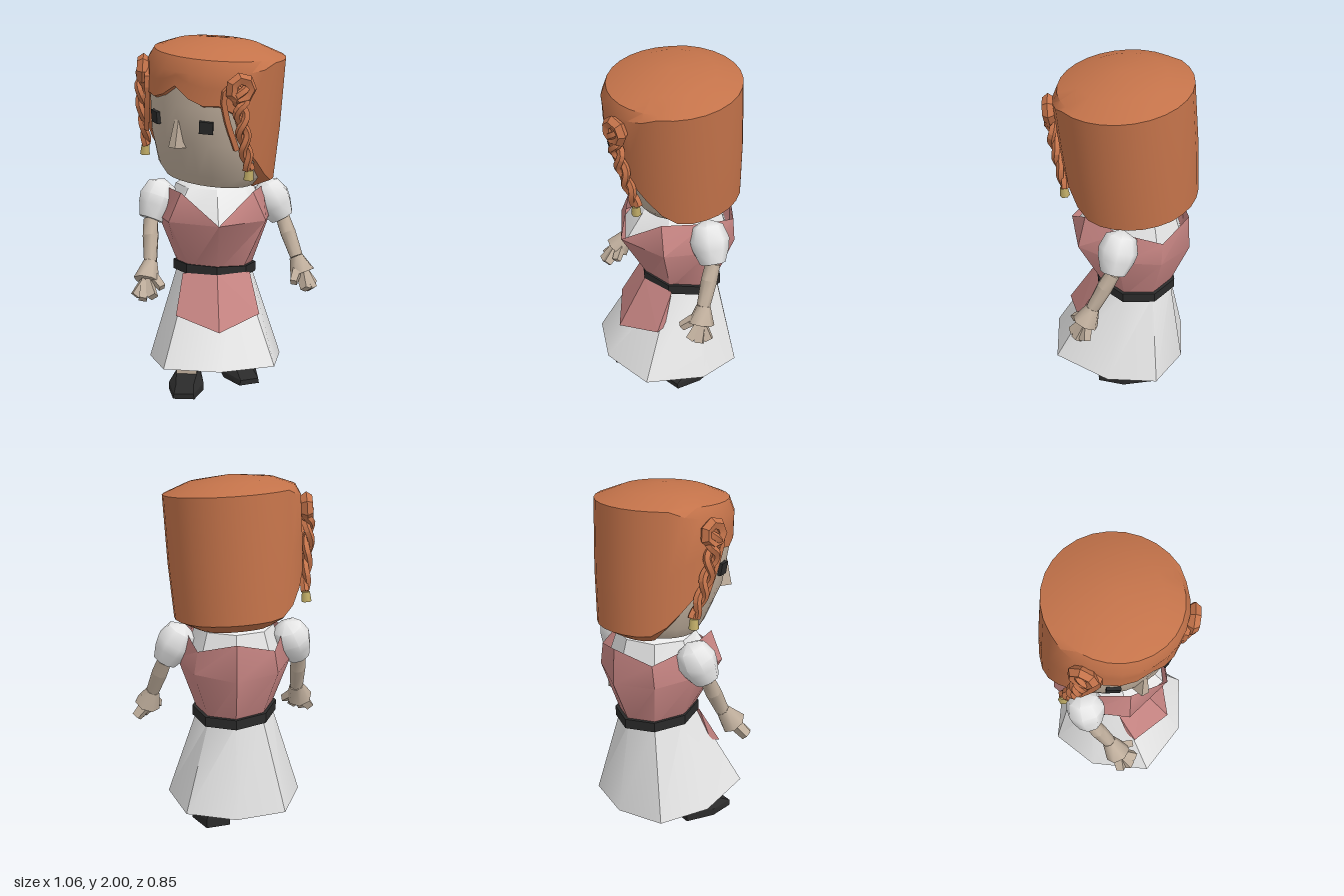
import * as THREE from 'three';
import { toCreasedNormals } from 'three/addons/utils/BufferGeometryUtils.js';
import { ConvexGeometry } from 'three/addons/geometries/ConvexGeometry.js';

const mat = (name, color, double) => {
  const m = new THREE.MeshStandardMaterial({ color });
  m.name = name;
  if (double) m.side = THREE.DoubleSide;
  return m;
};
const V = (x, y, z) => new THREE.Vector3(x, y, z);

// Skin a stack of rings (bottom to top), each running from +z towards +x; optional end caps
function loft(rings, { bottom, top, crease = 0.6 } = {}) {
  const n = rings[0].length, pos = rings.flat(2), index = [];
  for (let r = 0; r < rings.length - 1; r++)
    for (let i = 0; i < n; i++) {
      const a = r * n + i, b = r * n + (i + 1) % n;
      index.push(a, b, b + n, a, b + n, a + n);
    }
  const cap = (r, up, lift) => {
    const c = [0, 1, 2].map(k => rings[r].reduce((s, p) => s + p[k], 0) / n);
    const ci = pos.length / 3;
    pos.push(c[0], c[1] + lift, c[2]);
    for (let i = 0; i < n; i++) {
      const a = r * n + i, b = r * n + (i + 1) % n;
      index.push(ci, up ? a : b, up ? b : a);
    }
  };
  if (bottom !== undefined) cap(0, false, bottom);
  if (top !== undefined) cap(rings.length - 1, true, top);
  const g = new THREE.BufferGeometry();
  g.setAttribute('position', new THREE.Float32BufferAttribute(pos, 3));
  g.setIndex(index);
  return toCreasedNormals(g, crease);
}

// Eight-point ring from its front-to-back half
const oct = h => [...h, ...h.slice(1, 4).reverse().map(([x, y, z]) => [-x, y, z])];
const round = (n, f) => Array.from({ length: n }, (_, i) => f(i / n * Math.PI * 2));
const octRound = (r, yAt) => round(8, a => {
  const x = r * Math.sin(a), z = r * Math.cos(a);
  return [x, yAt(x, z), z];
});

export function createModel() {
  const hair = mat('copper hair', 0xc4734a, true), pink = mat('rose cloth', 0xc78583, true);
  const skin = mat('skin', 0xbfae9c), white = mat('white cloth', 0xe6e6e6);
  const black = mat('black leather', 0x2a2a2a), gold = mat('gold', 0xc2ae68);
  const root = new THREE.Group();
  root.name = 'woman';
  const add = (parent, name, geo, m) => {
    const mesh = new THREE.Mesh(geo, m);
    mesh.name = name;
    parent.add(mesh);
    return mesh;
  };
  const rod = (parent, name, a, b, r0, r1, sides, m) => {
    const d = b.clone().sub(a);
    const g = toCreasedNormals(new THREE.CylinderGeometry(r1, r0, d.length(), sides), sides > 5 ? 0.9 : 0.3);
    const mesh = add(parent, name, g, m);
    mesh.position.copy(a).lerp(b, 0.5);
    mesh.quaternion.setFromUnitVectors(V(0, 1, 0), d.normalize());
  };

  // Torso and skirt, turned a little to the model's right
  const torso = new THREE.Group();
  torso.name = 'torso';
  torso.position.z = -0.08;
  torso.rotation.y = -0.26;
  root.add(torso);
  const tilt = c => (x, z) => c + 0.1 * z - 0.05 * x;
  const hemY = z => 0.145 + 0.115 * z;
  const hem = [[0, 0.485], [0.31, 0.385], [0.38, 0.05], [0.28, -0.22], [0, -0.295]].map(([x, z]) => [x, hemY(z), z]);
  add(torso, 'skirt', loft([oct(hem), octRound(0.215, tilt(0.67))], { bottom: 0, crease: 0.75 }), white);
  const bust = [[0, 1.0, 0.38], [0.27, 1.0, 0.25], [0.32, 0.98, 0], [0.23, 0.95, -0.22], [0, 0.93, -0.32]];
  const neckline = [[0, 1.0, 0.38], [0.2, 1.16, 0.23], [0.28, 1.15, 0], [0.21, 1.08, -0.22], [0, 1.14, -0.31]];
  add(torso, 'bodice', loft([octRound(0.205, tilt(0.67)), oct(bust), oct(neckline)], { crease: 0.75 }), pink);
  const shirtLow = bust.map(([x, y, z]) => [x * 0.93, y - 0.02, z * 0.93]);
  add(torso, 'shirt', loft([oct(shirtLow), octRound(0.22, () => 1.17), octRound(0.15, () => 1.21)], { top: 0 }), white);
  add(torso, 'belt', loft([octRound(0.238, tilt(0.652)), octRound(0.238, tilt(0.708))], { bottom: 0, top: 0 }), black);
  // Pointed front tail of the bodice, a closed wedge over the skirt
  add(torso, 'bodiceTail', new ConvexGeometry([
    V(0, 0.69, 0.235), V(0.19, 0.68, 0.16), V(-0.19, 0.68, 0.16), V(0, 0.4, 0.405),
    V(0.235, 0.465, 0.275), V(-0.235, 0.465, 0.275), V(0, 0.41, 0.36), V(0.22, 0.475, 0.22), V(-0.22, 0.475, 0.22)]), pink);

  // Arms: puffed sleeve, forearm and hand with spread fingers
  const arms = [
    { side: 'left', top: V(0.27, 1.17, -0.02), cuff: V(0.375, 0.96, 0.03), wrist: V(0.42, 0.75, 0.14), palm: V(0.445, 0.66, 0.18),
      tips: [V(0.51, 0.585, 0.18), V(0.485, 0.575, 0.23), V(0.435, 0.585, 0.255)], thumb: V(0.36, 0.63, 0.25) },
    { side: 'right', top: V(-0.27, 1.18, -0.18), cuff: V(-0.365, 0.97, -0.13), wrist: V(-0.4, 0.75, -0.02), palm: V(-0.44, 0.66, 0.035),
      tips: [V(-0.515, 0.585, 0.06), V(-0.485, 0.575, 0.11), V(-0.43, 0.59, 0.13)], thumb: V(-0.37, 0.63, 0.105) }];
  for (const a of arms) {
    const arm = new THREE.Group();
    arm.name = a.side + 'Arm';
    root.add(arm);
    const axis = a.cuff.clone().sub(a.top), len = axis.length();
    const profile = [[0, len], [0.07, len], [0.1, len * 0.68], [0.11, len * 0.45], [0.085, len * 0.12], [0, -0.01]]
      .map(([r, y]) => new THREE.Vector2(r, -y)); // runs from the cuff up to the shoulder
    const sleeve = add(arm, 'sleeve', toCreasedNormals(new THREE.LatheGeometry(profile, 8), 0.9), white);
    sleeve.position.copy(a.top);
    sleeve.quaternion.setFromUnitVectors(V(0, -1, 0), axis.normalize());
    const elbow = a.cuff.clone().lerp(a.wrist, 0.4);
    rod(arm, 'upperForearm', a.cuff, elbow, 0.042, 0.046, 7, skin);
    rod(arm, 'forearm', elbow, a.wrist, 0.046, 0.038, 7, skin);
    rod(arm, 'palm', a.wrist, a.palm, 0.04, 0.075, 7, skin);
    a.tips.forEach(t => rod(arm, 'finger', a.palm.clone().lerp(t, 0.05), t, 0.04, 0.031, 4, skin));
    rod(arm, 'thumb', a.wrist.clone().lerp(a.palm, 0.5), a.thumb, 0.036, 0.026, 4, skin);
  }

  // Legs and shoes
  const shoePoints = [];
  for (const s of [-1, 1])
    for (const [x, y, z] of [[0.07, 0, 0], [0.1, 0, 0.17], [0.06, 0, 0.32], [0.07, 0.05, 0], [0.1, 0.04, 0.17],
      [0.055, 0.03, 0.32], [0.055, 0.09, 0.01], [0.06, 0.09, 0.13], [0.05, 0.06, 0.26]])
      shoePoints.push(V(s * x, y, z));
  for (const [name, x, z, turn] of [['left', 0.13, -0.19, 0.04], ['right', -0.16, -0.075, -0.4]]) {
    const leg = new THREE.Group();
    leg.name = name + 'Leg';
    leg.position.set(x, 0, z);
    leg.rotation.y = turn;
    root.add(leg);
    add(leg, 'shoe', new ConvexGeometry(shoePoints), black);
    add(leg, 'shin', new THREE.BoxGeometry(0.115, 0.3, 0.11), skin).position.set(0, 0.22, 0.095);
  }

  // Head, leaning slightly and turned far to the model's right; its origin is at the crown rim
  const lean = new THREE.Group(), head = new THREE.Group();
  lean.name = 'headLean';
  head.name = 'head';
  lean.position.set(-0.005, 1.915, -0.01);
  lean.rotation.set(0.085, 0, -0.04);
  head.rotation.y = -0.94;
  lean.add(head);
  root.add(lean);
  const skull = [[-0.71, 0.27, 0.2], [-0.65, 0.32, 0.235], [-0.45, 0.35, 0.325], [-0.25, 0.36, 0.358], [-0.08, 0.355, 0.355]];
  add(head, 'face', loft(skull.map(([y, rx, rz]) => round(24, a => [rx * Math.sin(a), y, (Math.cos(a) > 0 ? rz : rx) * Math.cos(a)])),
    { bottom: 0 }), skin);

  // Hair shell: the lower edge follows the fringe, then drops behind the ears; the crown slopes down over the brow
  const edgeTable = [[0, -0.15], [13, -0.21], [26, -0.24], [45, -0.23], [53, -0.28], [58, -0.42], [75, -0.53], [90, -0.64], [105, -0.7], [180, -0.71]];
  const edge = a => {
    const d = Math.abs(THREE.MathUtils.radToDeg(Math.atan2(Math.sin(a), Math.cos(a))));
    const k = Math.max(1, edgeTable.findIndex(e => e[0] >= d - 1e-6));
    const [d0, y0] = edgeTable[k - 1], [d1, y1] = edgeTable[k];
    return y0 + (y1 - y0) * (d - d0) / (d1 - d0);
  };
  const hairRing = (r, yOf) => round(28, a => {
    const e = edge(a), rr = typeof r === 'function' ? r(e) : r;
    return [rr * Math.sin(a), yOf(e, a), rr * Math.cos(a)];
  });
  const brow = a => 0.065 * Math.sqrt(Math.max(0, Math.cos(a)));
  add(head, 'hair', loft([
    hairRing(e => e < -0.6 ? 0.26 : 0.35, e => e - (e < -0.6 ? 0.035 : 0)),
    hairRing(e => 0.383 + 0.028 * e, e => e + (e < -0.6 ? 0.02 : 0.01)),
    hairRing(0.377, e => e * 0.55),
    hairRing(0.38, (e, a) => -brow(a)),
    hairRing(0.35, () => 0.012),
    hairRing(0.24, () => 0.055)], { top: 0.03 }), hair);

  // Nose
  add(head, 'nose', new ConvexGeometry([V(-0.012, -0.33, 0.345), V(0.012, -0.33, 0.345), V(-0.05, -0.485, 0.29), V(0.05, -0.485, 0.29),
    V(-0.022, -0.48, 0.375), V(0.022, -0.48, 0.375)]), skin);

  // Eyes, braids and earrings on both sides of the face
  const polar = (s, deg, r, y) => {
    const a = THREE.MathUtils.degToRad(deg);
    return V(s * r * Math.sin(a), y, r * Math.cos(a));
  };
  const facet = g => toCreasedNormals(g, 0.3);
  for (const s of [-1, 1]) {
    const eye = add(head, 'eye', new THREE.BoxGeometry(0.075, 0.068, 0.025), black);
    eye.position.copy(polar(s, 29, 0.348, -0.348));
    eye.rotation.set(0.15, s * 0.5, 0, 'YXZ');

    const path = new THREE.CatmullRomCurve3([polar(s, 54, 0.4, -0.1), polar(s, 55, 0.41, -0.22), polar(s, 60, 0.395, -0.4), polar(s, 68, 0.38, -0.57)]);
    for (const phase of [0, Math.PI]) {
      const pts = Array.from({ length: 19 }, (_, i) => {
        const t = i / 18, w = 0.038 * (1 - 0.6 * t), h = phase + t * Math.PI * 5;
        const out = polar(s, 60, 1, 0), side = polar(s, 150, 1, 0);
        return path.getPoint(t).addScaledVector(out, 0.5 * w * Math.sin(h)).addScaledVector(side, w * Math.cos(h));
      });
      add(head, 'braidStrand', facet(new THREE.TubeGeometry(new THREE.CatmullRomCurve3(pts), 26, 0.023, 5)), hair);
    }
    const knot = add(head, 'braidKnot', facet(new THREE.TorusGeometry(0.055, 0.034, 5, 7)), hair);
    knot.position.copy(polar(s, 54, 0.405, -0.12));
    knot.rotation.y = s * 0.94;
    // Loose lock sweeping from the knot along the brow
    const lock = new THREE.CatmullRomCurve3([polar(s, 54, 0.39, -0.07), polar(s, 42, 0.385, -0.15), polar(s, 45, 0.375, -0.28), polar(s, 56, 0.37, -0.46)]);
    add(head, 'looseLock', facet(new THREE.TubeGeometry(lock, 8, 0.02, 4)), hair);

    const earring = add(head, 'earring', new THREE.CylinderGeometry(0.022, 0.028, 0.055, 6), gold);
    earring.position.copy(polar(s, 68, 0.385, -0.6));
  }
  return root;
}
